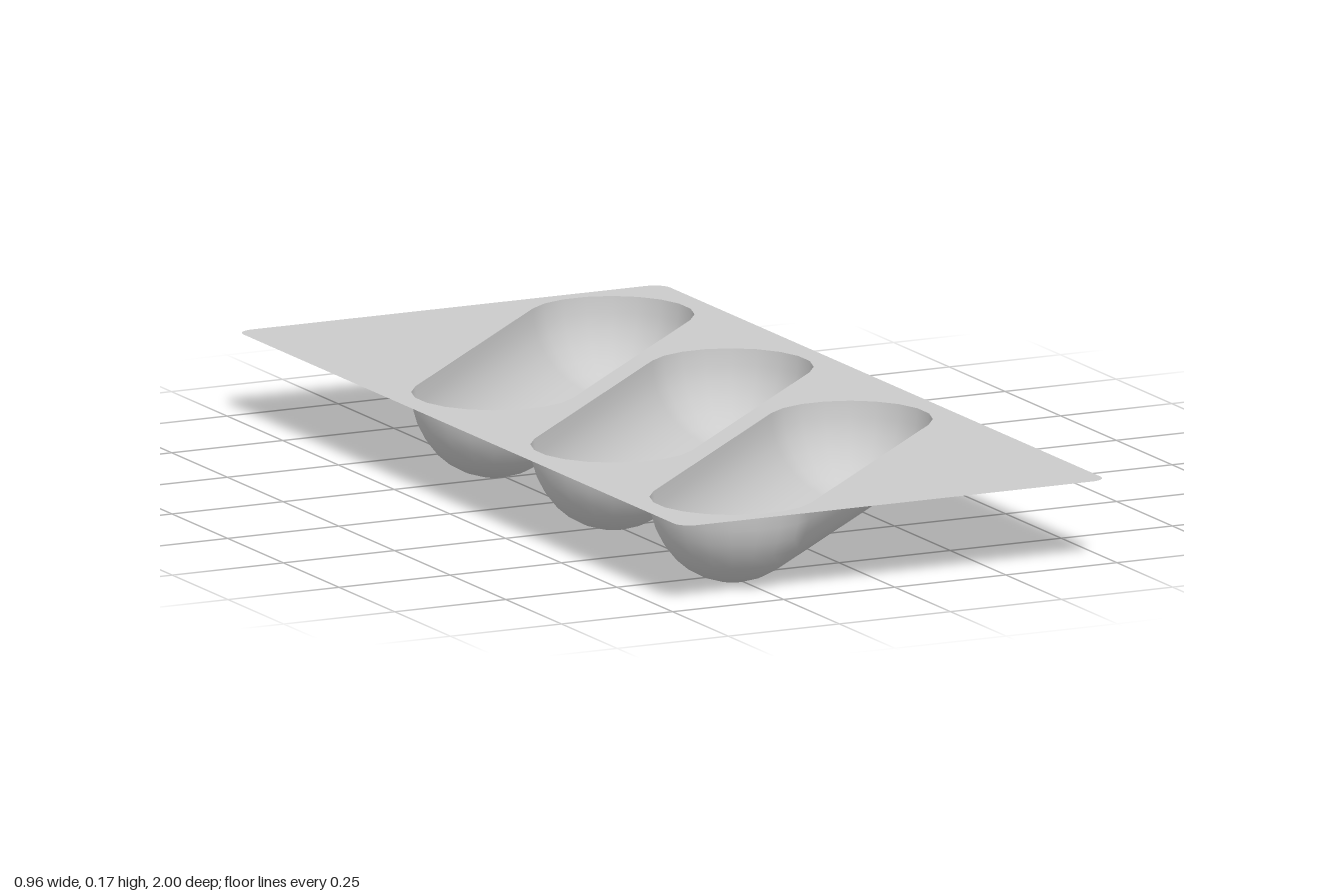
import * as THREE from 'three';

const HALF_W = 0.48, HALF_L = 1, CORNER = 0.035; // sheet
const DEPTH = 0.173, RADIUS = 0.167;             // wells
const END = 0.265, PITCH = 0.535;                // cap centre offset, well spacing
const CAP_STEPS = 10, DEPTH_STEPS = 8;

// Counter-clockwise outline of a slot lying along the diagonal
function slotOutline(radius) {
  const points = [];
  for (const side of [1, -1]) {
    for (let i = 0; i <= CAP_STEPS; i++) {
      const a = Math.PI * (i / CAP_STEPS - 0.25) + (side < 0 ? Math.PI : 0);
      points.push(new THREE.Vector2(side * END + radius * Math.cos(a), side * END + radius * Math.sin(a)));
    }
  }
  return points;
}

// Flat sheet with rounded corners and three slot openings
function sheetGeometry() {
  const w = HALF_W - CORNER, l = HALF_L - CORNER;
  const shape = new THREE.Shape();
  shape.absarc(w, l, CORNER, 0, Math.PI / 2);
  shape.absarc(-w, l, CORNER, Math.PI / 2, Math.PI);
  shape.absarc(-w, -l, CORNER, Math.PI, Math.PI * 1.5);
  shape.absarc(w, -l, CORNER, Math.PI * 1.5, Math.PI * 2);
  for (const k of [-1, 0, 1]) {
    const hole = slotOutline(RADIUS).map((p) => new THREE.Vector2(p.x, p.y + k * PITCH));
    shape.holes.push(new THREE.Path(hole.reverse()));
  }
  return new THREE.ShapeGeometry(shape, 5).rotateX(-Math.PI / 2);
}

// Half-capsule bowl: slot outlines shrinking towards the bottom
function wellGeometry() {
  const positions = [], index = [];
  const n = 2 * (CAP_STEPS + 1);
  for (let j = 0; j <= DEPTH_STEPS; j++) {
    const t = (j / DEPTH_STEPS) * Math.PI / 2;
    for (const p of slotOutline(RADIUS * Math.cos(t))) {
      positions.push(p.x, -DEPTH * Math.sin(t), -p.y);
    }
  }
  for (let j = 0; j < DEPTH_STEPS; j++) {
    for (let i = 0; i < n; i++) {
      const a = j * n + i, b = j * n + (i + 1) % n;
      index.push(a, b, b + n, a, b + n, a + n);
    }
  }
  const geometry = new THREE.BufferGeometry();
  geometry.setAttribute('position', new THREE.Float32BufferAttribute(positions, 3));
  geometry.setIndex(index);
  geometry.computeVertexNormals();
  return geometry;
}

export function createModel() {
  const tray = new THREE.Group();
  tray.name = 'tray';
  const material = new THREE.MeshStandardMaterial({ color: 0xcccccc, side: THREE.DoubleSide });

  const sheet = new THREE.Mesh(sheetGeometry(), material);
  sheet.name = 'sheet';
  sheet.position.y = DEPTH;
  tray.add(sheet);

  const well = wellGeometry();
  ['backWell', 'middleWell', 'frontWell'].forEach((name, i) => {
    const mesh = new THREE.Mesh(well, material);
    mesh.name = name;
    mesh.position.set(0, DEPTH, (i - 1) * PITCH);
    tray.add(mesh);
  });
  return tray;
}
